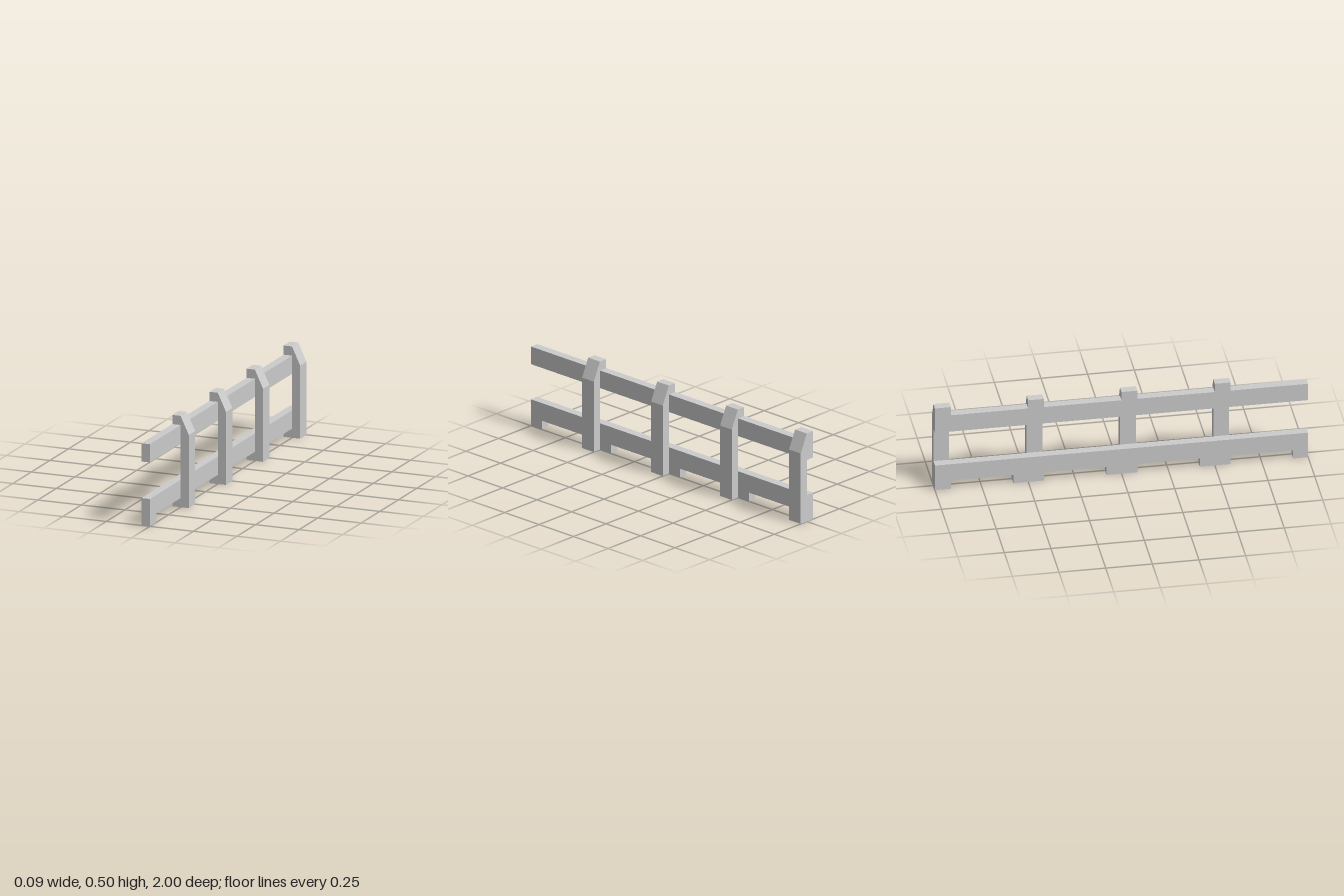
import * as THREE from 'three';

const material = new THREE.MeshStandardMaterial({ color: 0xcccccc, flatShading: true });
const POST_WIDTH = 0.085;
const POST_STARTS = [-1, -0.5, 0, 0.5]; // back edge of each post along z
const RAIL_DEPTH = 0.048;

function extrude(name, points, depth) {
  const shape = new THREE.Shape(points.map(([a, b]) => new THREE.Vector2(a, b)));
  const geometry = new THREE.ExtrudeGeometry(shape, { depth, bevelEnabled: false });
  const mesh = new THREE.Mesh(geometry, material);
  mesh.name = name;
  return mesh;
}

// A rail outline is drawn in (z, y), then turned to fill x from -RAIL_DEPTH to 0
function rail(name, points) {
  const mesh = extrude(name, points, RAIL_DEPTH);
  mesh.geometry.rotateY(-Math.PI / 2);
  return mesh;
}

export function createModel() {
  const fence = new THREE.Group();
  fence.name = 'fence';

  // Upper rail, with a raised block behind the top of every post
  const upper = [[-1, 0.35], [1, 0.35], [1, 0.45]];
  for (const z of [...POST_STARTS].reverse()) {
    upper.push([z + POST_WIDTH, 0.45], [z + POST_WIDTH, 0.5], [z, 0.5]);
    if (z > -1) upper.push([z, 0.45]);
  }
  fence.add(rail('upperRail', upper));

  // Lower rail, with feet reaching the ground under the posts and both ends
  const lower = [[1, 0.15], [-1, 0.15]];
  for (const z of POST_STARTS) {
    if (z > -1) lower.push([z - 0.08, 0.05], [z - 0.08, 0]);
    else lower.push([-1, 0]);
    lower.push([z + POST_WIDTH, 0], [z + POST_WIDTH, 0.05]);
  }
  lower.push([0.92, 0.05], [0.92, 0], [1, 0]);
  fence.add(rail('lowerRail', lower));

  // Posts with a sloped top, standing against the rails
  for (const z of POST_STARTS) {
    const post = extrude('post', [[0, 0], [0.047, 0], [0.047, 0.4], [0, 0.5]], POST_WIDTH);
    post.position.z = z;
    fence.add(post);
  }
  return fence;
}
